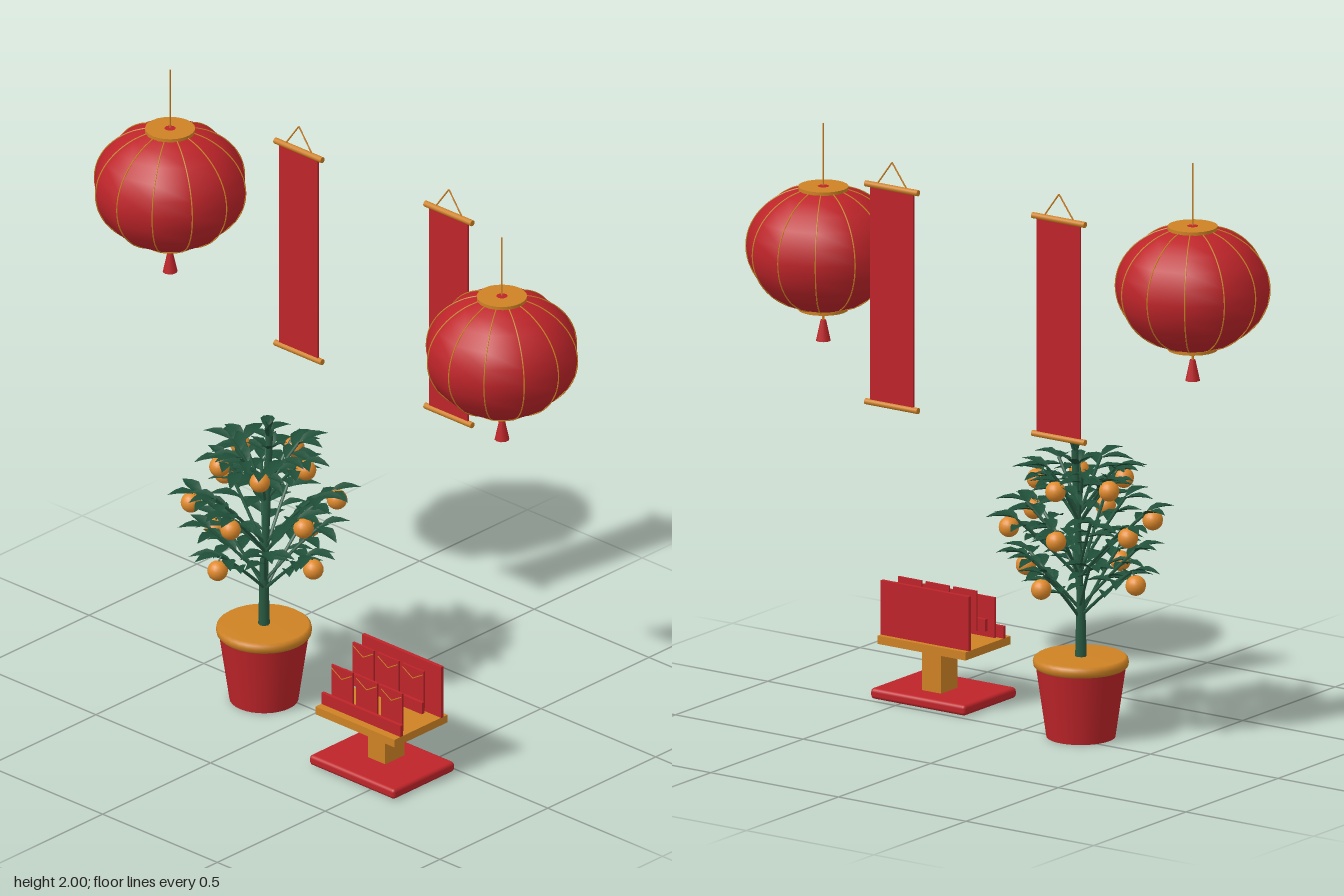
import * as THREE from 'three';
import { mergeGeometries } from 'three/addons/utils/BufferGeometryUtils.js';
import { RoundedBoxGeometry } from 'three/addons/geometries/RoundedBoxGeometry.js';

const V = (x, y, z) => new THREE.Vector3(x, y, z);
const mat = (name, color, side = THREE.FrontSide) => {
  const m = new THREE.MeshStandardMaterial({ color, side });
  m.name = name;
  return m;
};

export function createModel() {
  const red = mat('red', 0xbe2429);
  const gold = mat('gold', 0xce8224);
  const orange = mat('orange', 0xe08a2c);
  const bark = mat('stem green', 0x285a42);
  const leafGreen = mat('leaf green', 0x1f4f39, THREE.DoubleSide);

  const root = new THREE.Group();
  root.name = 'festiveDisplay';

  const add = (parent, name, geo, material, x = 0, y = 0, z = 0) => {
    const m = new THREE.Mesh(geo, material);
    m.name = name;
    m.position.set(x, y, z);
    parent.add(m);
    return m;
  };
  const group = (name, x, y, z) => {
    const g = new THREE.Group();
    g.name = name;
    g.position.set(x, y, z);
    root.add(g);
    return g;
  };
  const cyl = (rt, rb, h, n = 16) => new THREE.CylinderGeometry(rt, rb, h, n);
  const box = (w, h, d) => new THREE.BoxGeometry(w, h, d);
  // Straight or bent rod through points
  const rod = (pts, r, seg = 1, sides = 6) => new THREE.TubeGeometry(
    pts.length === 2 ? new THREE.LineCurve3(...pts) : new THREE.CatmullRomCurve3(pts), seg, r, sides);

  // Lanterns: twelve-sided globe, ribs, caps, wire and tassel
  const R = 0.247, RY = 0.205;
  function lantern(name, x, y) {
    const g = group(name, x, y, -0.083);
    const globe = new THREE.SphereGeometry(R, 12, 12);
    globe.scale(1, RY / R, 1);
    add(g, 'globe', globe, red);
    const ribs = [];
    for (let i = 0; i < 12; i++) {
      const pts = [];
      for (let k = 1; k < 12; k++) {
        const a = k * Math.PI / 12;
        pts.push(V(R * Math.sin(a), RY * Math.cos(a), 0));
      }
      ribs.push(rod(pts, 0.0022, 30, 5).rotateY(i * Math.PI / 6));
    }
    add(g, 'ribs', mergeGeometries(ribs), gold);
    for (const s of [1, -1]) add(g, 'cap', cyl(0.08, 0.08, 0.022, 24), gold, 0, s * 0.192, 0);
    add(g, 'hangingWire', cyl(0.0025, 0.0025, 0.21, 6), gold, 0, 0.305, 0);
    add(g, 'tasselCord', cyl(0.004, 0.004, 0.06, 6), gold, 0, -0.23, 0);
    add(g, 'tassel', cyl(0.009, 0.024, 0.068, 10), red, 0, -0.271, 0);
  }
  lantern('rightLantern', -0.725, 1.59);
  lantern('leftLantern', 0.722, 1.49);

  // Hanging scrolls
  for (const s of [-1, 1]) {
    const g = group(s < 0 ? 'rightScroll' : 'leftScroll', s * 0.327, 0, -0.257);
    add(g, 'cloth', box(0.17, 0.72, 0.006), red, 0, 1.43, 0);
    for (const y of [1.07, 1.787]) {
      add(g, 'rod', cyl(0.01, 0.01, 0.206, 12), gold, 0, y, 0).rotation.z = Math.PI / 2;
    }
    for (const e of [-1, 1]) {
      add(g, 'cord', rod([V(e * 0.06, 1.79, 0), V(0, 1.872, 0)], 0.0025), gold);
    }
  }

  // Pot and soil
  const tree = group('orangeTree', -0.193, 0, 0.047);
  add(tree, 'pot', cyl(0.144, 0.11, 0.235, 32), red, 0, 0.1175, 0);
  const rimProfile = [[0, 0.228], [0.144, 0.228], [0.151, 0.235], [0.153, 0.246], [0.151, 0.257], [0.142, 0.264], [0, 0.264]];
  add(tree, 'potRim', new THREE.LatheGeometry(rimProfile.map(p => new THREE.Vector2(...p)), 32), gold);

  // Trunk, slightly bent
  const trunk = new THREE.CatmullRomCurve3([V(0, 0.25, 0), V(0.003, 0.45, 0), V(0.012, 0.7, -0.002), V(0.022, 0.94, -0.002)]);
  add(tree, 'lowerTrunk', cyl(0.013, 0.019, 0.25, 8), bark, 0, 0.37, 0);
  add(tree, 'trunk', new THREE.TubeGeometry(trunk, 20, 0.011, 8), bark);

  // One leaf along +x, folded on its midrib and drooping at the tip
  function leafGeometry() {
    const pos = [], idx = [];
    const widths = [0.08, 0.72, 1, 0.62, 0];
    widths.forEach((w, i) => {
      const t = i / 4, y = 0.14 * t - 0.3 * t * t;
      pos.push(t, y + 0.1 * w, -0.23 * w, t, y, 0, t, y + 0.1 * w, 0.23 * w);
      if (i < 4) for (const k of [0, 1]) {
        const a = i * 3 + k;
        idx.push(a, a + 1, a + 3, a + 1, a + 4, a + 3);
      }
    });
    const g = new THREE.BufferGeometry();
    g.setAttribute('position', new THREE.Float32BufferAttribute(pos, 3));
    g.setIndex(idx);
    g.computeVertexNormals();
    return g;
  }
  const leaf = leafGeometry();
  const leaves = [], branches = [];
  const dummy = new THREE.Object3D();
  dummy.rotation.order = 'YZX';
  const addLeaf = (p, yaw, pitch, len) => {
    dummy.position.copy(p);
    dummy.rotation.set(0, yaw, pitch);
    dummy.scale.setScalar(len);
    dummy.updateMatrix();
    leaves.push(leaf.clone().applyMatrix4(dummy.matrix));
  };
  let seed = 7;
  const rnd = () => (seed = (seed * 16807) % 2147483647) / 2147483647;

  // Branch tiers: start height, end height, reach, fruit height, count, first angle
  const fruit = new THREE.SphereGeometry(0.033, 16, 12);
  const tiers = [
    [0.39, 0.575, 0.2, 0.53, 4, 0, 0.215],
    [0.52, 0.725, 0.21, 0.7, 6, 14, 0.232],
    [0.7, 0.865, 0.13, 0.837, 5, -20, 0.145],
  ];
  for (const [y0, y1, reach, fy, n, first, fr] of tiers) {
    for (let i = 0; i < n * 2; i++) {
      const fruiting = i % 2 === 0;
      if (!fruiting && n === 6 && i % 4 === 1) continue;
      const a = -THREE.MathUtils.degToRad(first + i * 180 / n);
      const r = reach * (fruiting ? 1 : 0.88);
      const dir = V(Math.cos(a), 0, -Math.sin(a));
      const lift = fruiting ? 0 : 0.03;
      const base = V(0.006, y0 + lift, 0);
      const mid = dir.clone().multiplyScalar(r * 0.55).setY(y0 + lift + (y1 - y0) * 0.62);
      const tip = dir.clone().multiplyScalar(r).setY(y1 + lift);
      const curve = new THREE.QuadraticBezierCurve3(base, mid, tip);
      branches.push(new THREE.TubeGeometry(curve, 6, 0.0055, 5));
      for (let k = 0; k < 5; k++) {
        const side = k % 2 ? 1 : -1;
        addLeaf(curve.getPoint(0.48 + k * 0.12), a + side * (0.75 + rnd() * 0.4), 0.05 + rnd() * 0.35, 0.085 + rnd() * 0.025);
      }
      addLeaf(tip, a + (rnd() - 0.5) * 0.5, 0.15 + rnd() * 0.2, 0.1);
      if (fruiting) {
        const f = dir.clone().multiplyScalar(fr);
        add(tree, 'fruit', fruit, orange, f.x, fy, f.z);
        branches.push(rod([tip, V(f.x, fy + 0.025, f.z)], 0.003, 1, 5));
      }
    }
  }
  // Crown leaves
  const crown = V(0.022, 0.925, -0.002);
  for (let i = 0; i < 3; i++) addLeaf(crown, i * 2.1, 1.5, 0.07);
  for (let i = 0; i < 4; i++) addLeaf(trunk.getPoint(0.92), 0.4 + i * 1.57, 0.75, 0.075);
  add(tree, 'branches', mergeGeometries(branches), bark);
  add(tree, 'leaves', mergeGeometries(leaves), leafGreen);

  // Envelope stand: base, post, tray and back board
  const stand = group('envelopeStand', 0.424, 0, 0.156);
  add(stand, 'base', new RoundedBoxGeometry(0.372, 0.035, 0.285, 3, 0.012), red, 0, 0.0195, 0);
  add(stand, 'post', box(0.075, 0.15, 0.09), gold, 0, 0.108, -0.02);
  add(stand, 'tray', box(0.345, 0.027, 0.245), gold, 0, 0.193, 0.003);
  add(stand, 'backBoard', box(0.345, 0.18, 0.013), red, 0, 0.295, -0.096);

  // Two rows of envelopes, each behind a low rail
  for (const [y, z, h] of [[0.21, 0.068, 0.133], [0.255, -0.031, 0.131]]) {
    add(stand, 'rail', box(0.345, 0.04, 0.012), red, 0, y + 0.016, z + 0.024);
    for (const x of [-0.108, 0, 0.108]) {
      add(stand, 'envelope', box(0.092, h, 0.007), red, x, y + h / 2, z);
      for (const s of [-1, 1]) {
        add(stand, 'flapLine', rod([V(s * 0.044, 0, 0), V(0, -0.026, 0)], 0.0018, 1, 5), gold, x, y + h - 0.012, z + 0.0035);
      }
    }
  }
  return root;
}
